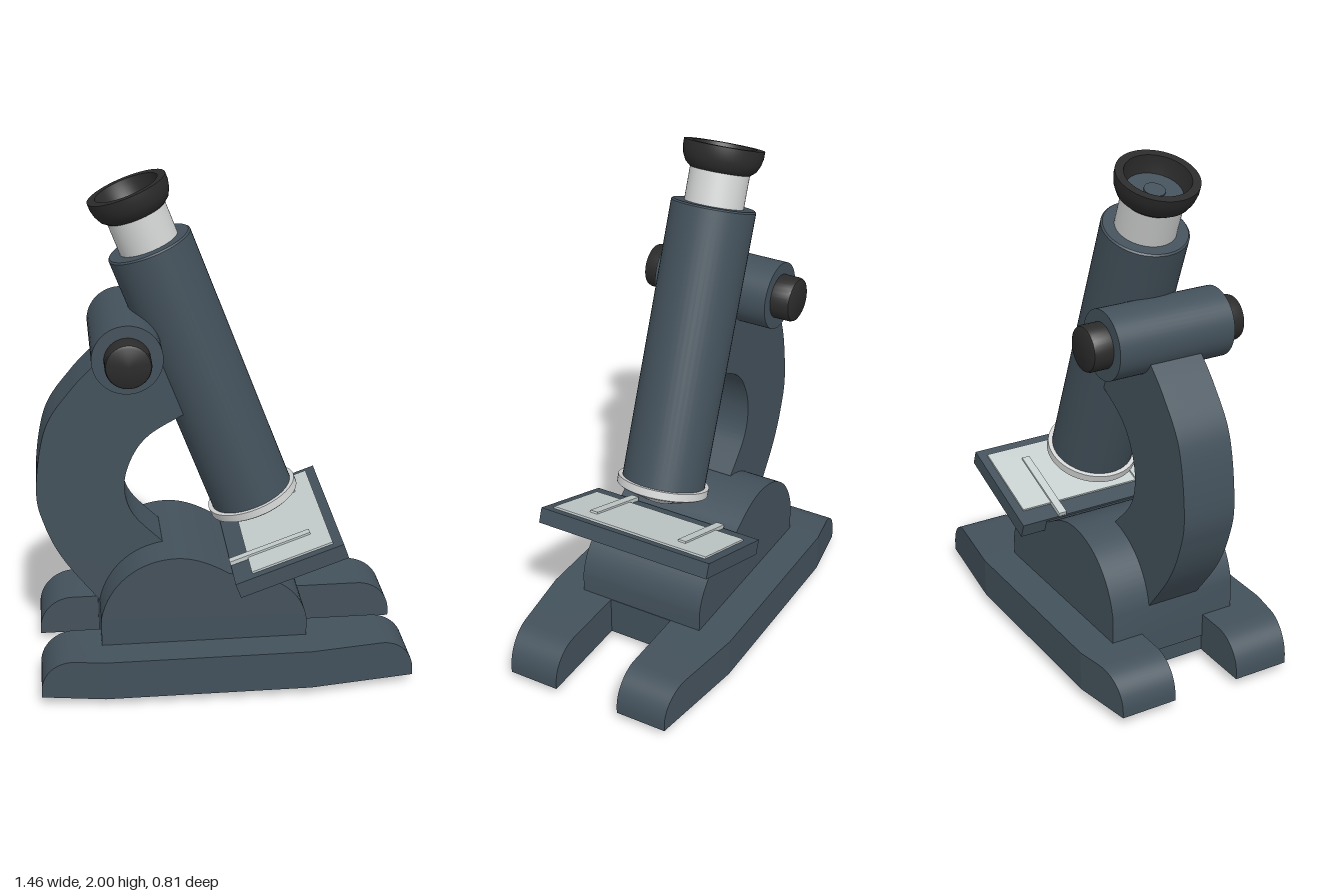
import * as THREE from 'three';
import { toCreasedNormals } from 'three/addons/utils/BufferGeometryUtils.js';

const mat = (name, color) => Object.assign(new THREE.MeshStandardMaterial({ color }), { name });

export function createModel() {
  const body = mat('slate enamel', 0x43515b);
  const black = mat('black rubber', 0x2b2b2b);
  const silver = mat('light metal', 0xd2d3d3);
  const plateMat = mat('stage plate grey', 0xc5cdcd);

  const model = new THREE.Group();
  model.name = 'microscope';

  const add = (parent, name, geometry, material, x = 0, y = 0, z = 0) => {
    const mesh = new THREE.Mesh(geometry, material);
    mesh.name = name;
    mesh.position.set(x, y, z);
    parent.add(mesh);
    return mesh;
  };
  const v = (pts) => pts.map(([x, y]) => new THREE.Vector2(x, y));
  const lathe = (pts) => toCreasedNormals(new THREE.LatheGeometry(v(pts), 48), 0.6);
  const extrude = (shape, z0, z1) =>
    new THREE.ExtrudeGeometry(shape, { depth: z1 - z0, bevelEnabled: false, curveSegments: 16 }).translate(0, 0, z0);

  // Base: centre slab plus four rounded, tapering leg ends
  const bottom = 0.035, top = 0.195, half = 0.405, slot = 0.138;
  const x0 = -0.485, x1 = 0.317;
  add(model, 'baseSlab', new THREE.BoxGeometry(x1 - x0, top - bottom, half * 2), body,
    (x0 + x1) / 2, (top + bottom) / 2, 0);
  for (const [start, end, taper] of [[x0, -0.73, 0.04], [x1, 0.73, 0.057]]) {
    const d = Math.sign(end);
    const shape = new THREE.Shape();
    shape.moveTo(start, bottom);
    shape.lineTo(end, bottom);
    shape.lineTo(end, 0.06);
    shape.bezierCurveTo(end, 0.135, end - d * 0.06, top, end - d * 0.135, top);
    shape.lineTo(start, top);
    for (const side of [1, -1]) {
      const geo = extrude(shape, slot, half);
      const p = geo.attributes.position;
      for (let i = 0; i < p.count; i++) {
        if (p.getZ(i) > 0.3) p.setZ(i, half - taper * (p.getX(i) - start) / (end - start));
      }
      if (side < 0) geo.rotateY(Math.PI).scale(1, 1, 1);
      // A half turn flips x too, so mirror by re-extruding on the far side
      const leg = side > 0 ? geo : mirrorZ(geo.rotateY(Math.PI));
      add(model, 'baseLeg', toCreasedNormals(leg, 0.5), body);
    }
  }

  // Rubber feet
  for (const [x, z] of [[-0.62, 0.258], [-0.02, 0.308], [0.605, 0.258]]) {
    for (const side of [1, -1]) {
      add(model, 'foot', lathe([[0, 0], [0.036, 0], [0.045, 0.008], [0.048, 0.02], [0.048, 0.037], [0, 0.037]]),
        black, x, 0, z * side);
    }
  }

  // Humped pedestal block
  const hump = new THREE.Shape();
  hump.moveTo(-0.49, 0.1);
  hump.lineTo(-0.49, 0.31);
  hump.bezierCurveTo(-0.46, 0.46, -0.34, 0.557, -0.195, 0.557);
  hump.bezierCurveTo(-0.12, 0.557, -0.05, 0.52, 0.01, 0.482);
  hump.lineTo(0.1, 0.462);
  hump.bezierCurveTo(0.22, 0.45, 0.3, 0.37, 0.315, 0.27);
  hump.lineTo(0.315, 0.1);
  add(model, 'pedestal', toCreasedNormals(extrude(hump, -0.268, 0.268), 0.4), body);

  // Crescent arm
  const arm = new THREE.Shape();
  arm.moveTo(-0.3, 0.25);
  arm.lineTo(-0.487, 0.307);
  arm.splineThru(v([[-0.624, 0.493], [-0.695, 0.65], [-0.72, 0.8], [-0.677, 1.05], [-0.57, 1.21], [-0.466, 1.316]]));
  arm.lineTo(-0.36, 1.4);
  arm.lineTo(-0.24, 1.4);
  arm.lineTo(-0.1, 1.1);
  arm.lineTo(-0.148, 1.088);
  arm.splineThru(v([[-0.28, 1.01], [-0.35, 0.918], [-0.381, 0.8], [-0.35, 0.68], [-0.238, 0.557]]));
  arm.lineTo(-0.2, 0.4);
  add(model, 'arm', toCreasedNormals(extrude(arm, -0.108, 0.108), 0.5), body);

  // Focus hub with a knob at each end
  add(model, 'focusHub', new THREE.CylinderGeometry(0.133, 0.133, 0.484, 48).rotateX(Math.PI / 2), body, -0.365, 1.363, 0);
  for (const side of [1, -1]) {
    const knob = lathe([[0, 0], [0.087, 0], [0.087, 0.07], [0.083, 0.08], [0.074, 0.085], [0, 0.085]]);
    add(model, 'focusKnob', knob.rotateX(side * Math.PI / 2), black, -0.365, 1.363, side * 0.237);
  }

  // Tilted optical tube, local y along its axis
  const tube = new THREE.Group();
  tube.name = 'opticalTube';
  tube.position.set(0.125, 0.708, 0);
  tube.rotation.z = 0.3625;
  model.add(tube);
  const L = 1.099;
  add(tube, 'mainTube', lathe([[0, 0], [0.164, 0], [0.164, L - 0.006], [0.158, L], [0, L]]), body);
  add(tube, 'objective', lathe([[0, -0.08], [0.055, -0.08], [0.172, -0.036], [0.181, -0.03], [0.181, 0.001], [0, 0.001]]), silver);
  add(tube, 'eyepieceSleeve', lathe([[0.115, L - 0.01], [0.115, L + 0.14]]), silver);
  add(tube, 'eyeCup', lathe([[0.1, L + 0.126], [0.116, L + 0.128], [0.136, L + 0.145], [0.149, L + 0.172],
    [0.155, L + 0.2], [0.155, L + 0.227], [0.124, L + 0.227], [0.118, L + 0.195], [0.105, L + 0.16]]), black);
  add(tube, 'eyepieceFloor', lathe([[0, L + 0.13], [0.108, L + 0.13], [0.108, L + 0.161], [0, L + 0.161]]), body);
  add(tube, 'eyepieceLens', new THREE.CylinderGeometry(0.04, 0.04, 0.008, 32), body, 0, L + 0.163, 0);

  // Tilted stage with specimen plate and clips
  const stage = new THREE.Group();
  stage.name = 'stage';
  stage.position.set(0.239, 0.533, 0);
  stage.rotation.z = 0.346;
  model.add(stage);
  add(stage, 'stageTable', new THREE.BoxGeometry(0.44, 0.062, 0.746), body);
  add(stage, 'stagePlate', new THREE.BoxGeometry(0.33, 0.009, 0.676), plateMat, 0.018, 0.0345, 0);
  for (const side of [1, -1]) {
    add(stage, 'stageClip', new THREE.BoxGeometry(0.333, 0.016, 0.033), plateMat, -0.053, 0.039, side * 0.198);
  }
  return model;
}

// Mirrors an unindexed geometry across z = 0, keeping its faces outward
function mirrorZ(geo) {
  geo.scale(1, 1, -1);
  const p = geo.attributes.position;
  const a = new THREE.Vector3(), b = new THREE.Vector3();
  for (let i = 0; i < p.count; i += 3) {
    a.fromBufferAttribute(p, i);
    b.fromBufferAttribute(p, i + 1);
    p.setXYZ(i, b.x, b.y, b.z);
    p.setXYZ(i + 1, a.x, a.y, a.z);
  }
  return geo;
}
